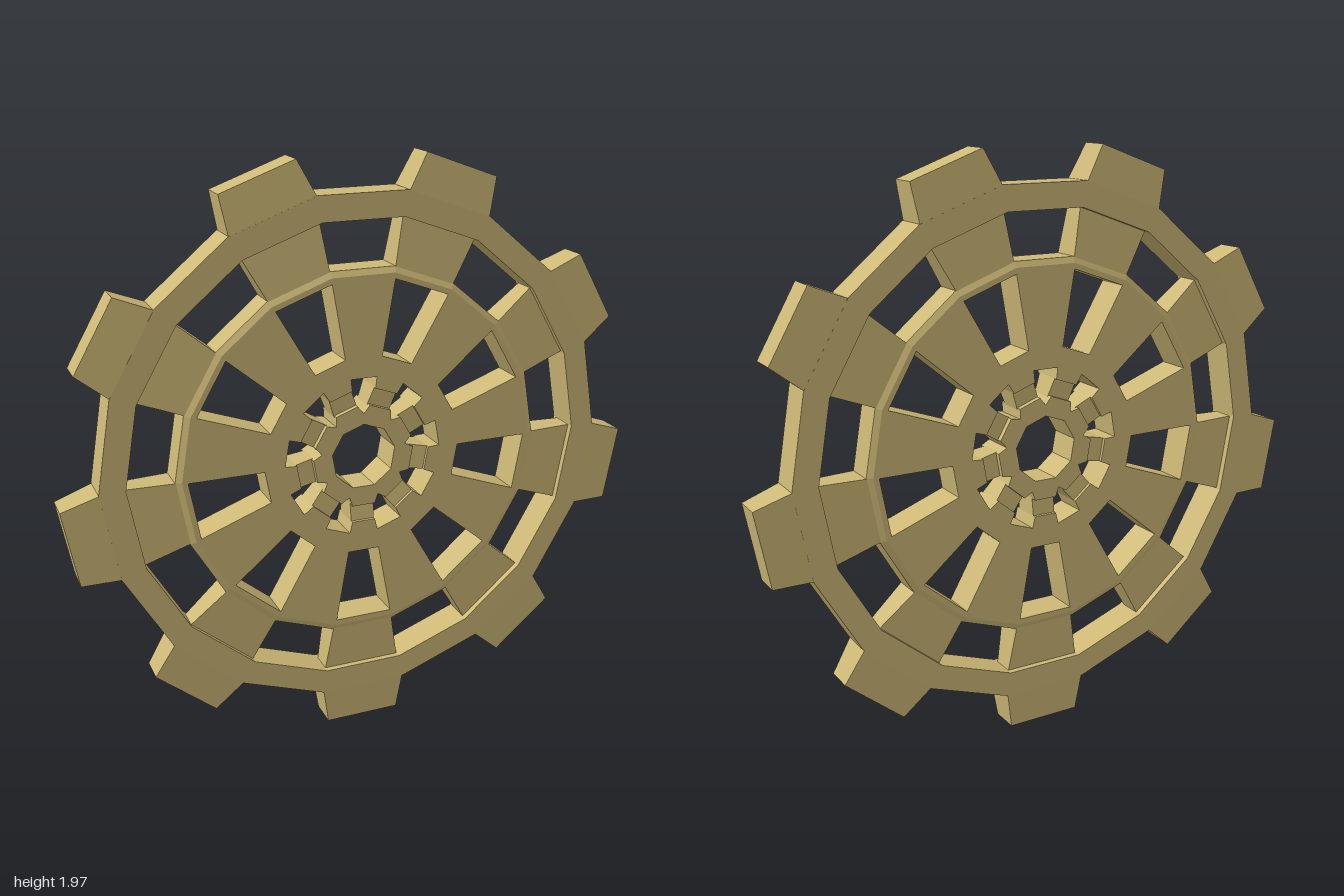
import * as THREE from 'three';

const COUNT = 9, STEP = (Math.PI * 2) / COUNT, DEG = Math.PI / 180;
const DOWN = -Math.PI / 2;
const DEPTH = 0.12;

const polar = (r, a) => new THREE.Vector2(r * Math.cos(a), r * Math.sin(a));

// Regular polygon outline
function polygon(r, sides, start) {
  return Array.from({ length: sides }, (_, i) => polar(r, start + (i * Math.PI * 2) / sides));
}

// Outline from one [radius, degrees] pattern repeated around the wheel
function repeated(pattern) {
  const pts = [];
  for (let i = 0; i < COUNT; i++)
    for (const [r, d] of pattern) pts.push(polar(r, DOWN + i * STEP + d * DEG));
  return pts;
}

function plate(outline, holes) {
  const shape = new THREE.Shape(outline);
  for (const h of holes) shape.holes.push(new THREE.Path(h));
  return new THREE.ExtrudeGeometry(shape, { depth: DEPTH, bevelEnabled: false })
    .translate(0, 0, -DEPTH / 2);
}

// Box tapered in width and thickness from an inner to an outer radius
function wedge(r0, half0, z0, r1, half1, z1) {
  const g = new THREE.BoxGeometry(2, 1, 2), p = g.attributes.position;
  for (let i = 0; i < p.count; i++) {
    const out = p.getY(i) > 0;
    p.setXYZ(i, p.getX(i) * (out ? half1 : half0), out ? r1 : r0, p.getZ(i) * (out ? z1 : z0));
  }
  g.computeVertexNormals();
  return g;
}

export function createModel() {
  const model = new THREE.Group();
  const wheel = new THREE.Group();
  wheel.name = 'wheel';
  wheel.position.y = 0.993;
  model.add(wheel);
  const material = new THREE.MeshStandardMaterial({ color: 0xcdb876, flatShading: true });

  const add = (name, geometry, parent = wheel) => {
    const mesh = new THREE.Mesh(geometry, material);
    mesh.name = name;
    parent.add(mesh);
    return mesh;
  };
  const addAround = (name, geometry) => {
    const group = new THREE.Group();
    group.name = name + 's';
    wheel.add(group);
    for (let i = 0; i < COUNT; i++) add(name, geometry, group).rotation.z = Math.PI + i * STEP;
  };

  // Outer ring, with a corner either side of every tooth
  const start = DOWN + 10 * DEG;
  add('outerRing', plate(polygon(0.88, 18, start), [polygon(0.795, 18, start)]));

  // Inner disc with tapered windows and a notched centre opening
  const windows = [];
  for (let i = 0; i < COUNT; i++) {
    const a = DOWN + i * STEP, c = new THREE.Vector2();
    windows.push([[0.34, -0.055], [0.59, -0.1], [0.59, 0.1], [0.34, 0.055]]
      .map(([x, y]) => new THREE.Vector2(x, y).rotateAround(c, a)));
  }
  const notches = repeated([[0.235, -10], [0.235, 10], [0.275, 10.5], [0.275, 29.5]]);
  add('innerDisc', plate(polygon(0.618, 18, start), [notches, ...windows]));

  // Bevelled rim of the inner disc
  const rim = [[0.618, -0.06], [0.638, -0.05], [0.638, 0.05], [0.618, 0.06]]
    .map(([x, y]) => new THREE.Vector2(x, y));
  add('discRim', new THREE.LatheGeometry(rim, 18, 10 * DEG).rotateX(Math.PI / 2));

  // Hub with a nine-sided bore
  add('hub', plate(repeated([[0.178, -13], [0.178, 13], [0.15, 20]]),
    [polygon(0.113, COUNT, Math.PI / 2)]));

  // Hub struts, blocks between disc and ring, and teeth
  addAround('hubStrut', wedge(0.165, 0.042, 0.04, 0.24, 0.041, 0.05));
  addAround('spokeBlock', wedge(0.625, 0.109, 0.051, 0.79, 0.137, 0.038));
  addAround('tooth', wedge(0.86, 0.151, 0.06, 0.993, 0.131, 0.05));

  return model;
}
